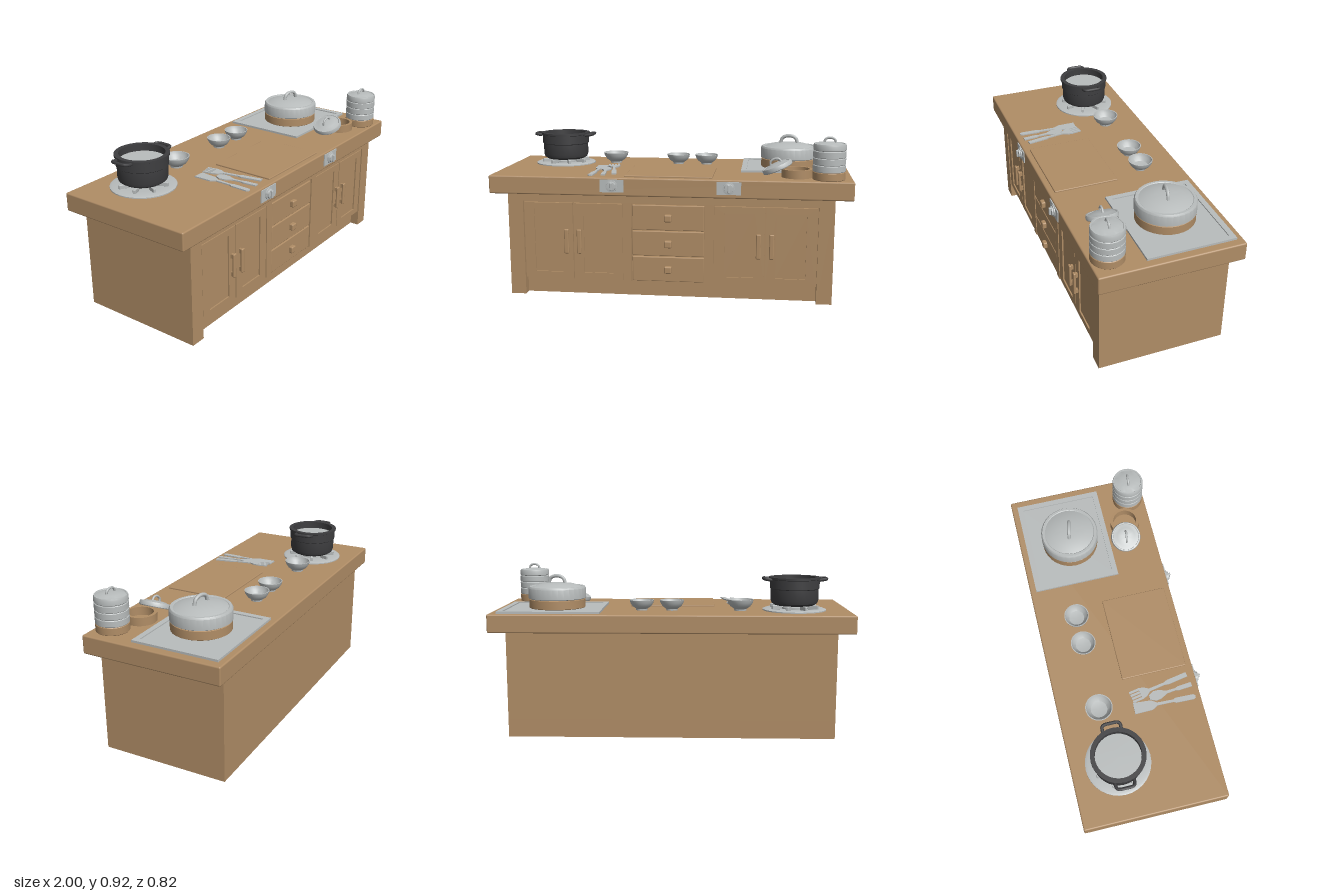
import * as THREE from 'three';
import { RoundedBoxGeometry } from 'three/addons/geometries/RoundedBoxGeometry.js';
import { toCreasedNormals } from 'three/addons/utils/BufferGeometryUtils.js';

export function createModel() {
  const wood = new THREE.MeshStandardMaterial({ color: 0xb08d66 });
  wood.name = 'wood';
  const metal = new THREE.MeshStandardMaterial({ color: 0xb9bdbd });
  metal.name = 'light metal';
  const iron = new THREE.MeshStandardMaterial({ color: 0x3e3e40 });
  iron.name = 'black iron';

  const root = new THREE.Group();
  root.name = 'kitchenIsland';

  const add = (name, geo, mat, parent = root, x = 0, y = 0, z = 0) => {
    const m = new THREE.Mesh(geo, mat);
    m.name = name;
    m.position.set(x, y, z);
    parent.add(m);
    return m;
  };
  const group = (name, x = 0, y = 0, z = 0, parent = root) => {
    const g = new THREE.Group();
    g.name = name;
    g.position.set(x, y, z);
    parent.add(g);
    return g;
  };
  // box given by its two extreme corners
  const box = (name, mat, x0, x1, y0, y1, z0, z1, parent = root) =>
    add(name, new THREE.BoxGeometry(x1 - x0, y1 - y0, z1 - z0), mat, parent,
      (x0 + x1) / 2, (y0 + y1) / 2, (z0 + z1) / 2);
  const softBox = (name, mat, x0, x1, y0, y1, z0, z1, r, parent = root) =>
    add(name, new RoundedBoxGeometry(x1 - x0, y1 - y0, z1 - z0, 2, r), mat, parent,
      (x0 + x1) / 2, (y0 + y1) / 2, (z0 + z1) / 2);
  // turned part from [radius, height] pairs, bottom outside first
  const turned = (name, mat, pts, parent, seg = 32) =>
    add(name, toCreasedNormals(new THREE.LatheGeometry(
      pts.map(p => new THREE.Vector2(...p)), seg), 0.6), mat, parent);
  const tube = (name, mat, pts, r, parent) =>
    add(name, new THREE.TubeGeometry(new THREE.CatmullRomCurve3(
      pts.map(p => new THREE.Vector3(...p))), 16, r, 8), mat, parent);
  // rectangular frame in the xy plane
  const frame = (name, mat, w, h, ix, iy, depth, parent) => {
    const rect = (S, a, b) => new S([[-a, -b], [a, -b], [a, b], [-a, b]].map(p => new THREE.Vector2(...p)));
    const s = rect(THREE.Shape, w / 2, h / 2);
    s.holes.push(rect(THREE.Path, w / 2 - ix, h / 2 - iy));
    return add(name, new THREE.ExtrudeGeometry(s, { depth, bevelEnabled: false }), mat, parent);
  };

  // Cabinet carcass, open below with a recessed toe board
  const cab = group('cabinet');
  box('carcass', wood, -0.905, 0.905, 0.1, 0.595, -0.375, 0.32, cab);
  box('backSkirt', wood, -0.905, 0.905, 0, 0.1, -0.375, -0.355, cab);
  box('toeBoard', wood, -0.885, 0.885, 0, 0.1, 0.27, 0.288, cab);
  box('topRail', wood, -0.82, 0.82, 0.543, 0.595, 0.32, 0.34, cab);
  for (const s of [-1, 1]) {
    box('sideSkirt', wood, Math.min(s * 0.905, s * 0.885), Math.max(s * 0.905, s * 0.885), 0, 0.1, -0.375, 0.32, cab);
    box('cornerPost', wood, s * 0.8625 - 0.0425, s * 0.8625 + 0.0425, 0, 0.595, 0.28, 0.34, cab);
    box('stile', wood, s * 0.23 - 0.024, s * 0.23 + 0.024, 0.095, 0.543, 0.32, 0.34, cab);
    // Panelled doors with bar handles
    for (const t of [-1, 1]) {
      const door = group('door', s * 0.535 + t * 0.141, 0.317, 0.32, cab);
      frame('doorFrame', wood, 0.276, 0.436, 0.056, 0.037, 0.016, door);
      box('doorPanel', wood, -0.083, 0.083, -0.181, 0.181, 0, 0.008, door);
      const hx = -t * 0.105;
      softBox('handleBar', wood, hx - 0.013, hx + 0.013, -0.067, 0.073, 0.028, 0.042, 0.006, door);
      for (const y of [-0.05, 0.056]) box('handleFoot', wood, hx - 0.009, hx + 0.009, y - 0.012, y + 0.012, 0.012, 0.032, door);
    }
  }
  // Drawers
  for (const y of [0.17, 0.317, 0.464]) {
    softBox('drawerFront', wood, -0.2, 0.2, y - 0.07, y + 0.07, 0.3, 0.338, 0.004, cab);
    softBox('drawerKnob', wood, -0.02, 0.02, y - 0.02, y + 0.02, 0.332, 0.361, 0.007, cab);
  }

  // Worktop and cutting board
  softBox('worktop', wood, -1, 1, 0.588, 0.69, -0.41, 0.378, 0.008);
  softBox('cuttingBoard', wood, -0.243, 0.243, 0.685, 0.699, -0.02, 0.345, 0.004);

  // Control plates with rotary knobs
  for (const x of [-0.305, 0.335]) {
    const g = group('control', x, 0.645, 0.378);
    box('controlPlate', metal, -0.066, 0.066, -0.035, 0.035, -0.004, 0.006, g);
    const dial = turned('controlDial', metal, [[0.033, 0], [0.033, 0.012], [0.026, 0.013], [0.024, 0.022], [0, 0.024]], g, 24);
    dial.rotation.x = Math.PI / 2;
    softBox('dialGrip', metal, -0.007, 0.007, -0.022, 0.022, 0.015, 0.033, 0.004, g);
  }

  // Burner with prongs, and the pot upon it
  const stove = group('burner', -0.69, 0.69, -0.152);
  turned('burnerPlate', metal, [[0.178, 0], [0.178, 0.006], [0.165, 0.011], [0.1, 0.008], [0, 0.008]], stove);
  turned('burnerHead', metal, [[0.07, 0], [0.07, 0.018], [0, 0.02]], stove, 20);
  for (let i = 0; i < 8; i++) {
    const arm = group('prong', 0, 0, 0, stove);
    arm.rotation.y = (i + 0.5) * Math.PI / 4;
    softBox('prongBar', metal, 0.08, 0.14, 0.006, 0.031, -0.008, 0.008, 0.004, arm);
  }
  const pot = group('pot', -0.69, 0.72, -0.152);
  turned('potBody', iron, [[0, 0], [0.11, 0], [0.128, 0.012], [0.134, 0.03], [0.134, 0.09], [0.139, 0.094],
    [0.139, 0.143], [0.146, 0.146], [0.146, 0.157], [0.122, 0.157], [0.122, 0.11]], pot);
  turned('potContents', metal, [[0.123, 0.118], [0, 0.12]], pot);
  for (const s of [-1, 1]) {
    tube('potHandle', iron, [[s * 0.13, 0.142, -0.05], [s * 0.168, 0.147, -0.045], [s * 0.174, 0.148, 0],
      [s * 0.168, 0.147, 0.045], [s * 0.13, 0.142, 0.05]], 0.009, pot);
  }

  // Bowls
  for (const [x, k] of [[-0.385, 1.08], [0, 1], [0.17, 1]]) {
    const b = group('bowl', x, 0.69, -0.185);
    b.scale.setScalar(k);
    turned('bowlShell', metal, [[0, 0], [0.032, 0], [0.033, 0.009], [0.052, 0.022], [0.065, 0.042], [0.069, 0.058],
      [0.064, 0.058], [0.058, 0.04], [0.042, 0.022], [0, 0.015]], b);
  }

  // Flat utensils: outlines in x and length, laid on the worktop
  const utensil = (name, outline, x, z, turn, y) => {
    const s = new THREE.Shape([...outline, ...outline.map(([a, b]) => [-a, b]).reverse()].map(p => new THREE.Vector2(...p)));
    const g = new THREE.ExtrudeGeometry(s, { depth: 0.007, bevelEnabled: false });
    g.rotateX(Math.PI / 2);
    add(name, g, metal, root, x, y, z).rotation.y = turn;
  };
  utensil('spatula', [[0.032, 0], [0.027, 0.1], [0.008, 0.13], [0.007, 0.22], [0.014, 0.235], [0.014, 0.335], [0.007, 0.345]],
    -0.422, 0.003, -0.03, 0.7);
  utensil('spoon', [[0.012, 0], [0.028, 0.03], [0.026, 0.06], [0.008, 0.1], [0.006, 0.15], [0.012, 0.17], [0.012, 0.245]],
    -0.382, 0.1, 0.09, 0.704);
  utensil('forkHandle', [[0.034, 0.055], [0.026, 0.085], [0.008, 0.11], [0.007, 0.2], [0.013, 0.22], [0.013, 0.335]],
    -0.36, 0.002, 0.18, 0.709);
  const tines = group('forkTines', -0.36, 0.7055, 0.002);
  tines.rotation.y = 0.18;
  for (const x of [-0.027, -0.009, 0.009, 0.027]) box('tine', metal, x - 0.006, x + 0.006, -0.0035, 0.0035, 0, 0.06, tines);

  // Hob tray with raised rim
  const tray = group('tray', 0.672, 0.69, -0.132);
  const rim = frame('trayRim', metal, 0.566, 0.486, 0.03, 0.03, 0.012, tray);
  rim.rotation.x = -Math.PI / 2;
  box('trayBed', metal, -0.256, 0.256, 0, 0.006, -0.216, 0.216, tray);

  // Steamer lid: shallow dome with an arched grip
  const lid = (parent, r, h, dome, grip, y, turn) => {
    const g = group('lid', 0, y, 0, parent);
    turned('lidDome', metal, [[0, 0], [r * 0.96, 0], [r, 0.004], [r, h - 0.01], [r * 0.96, h], [r * 0.88, h], [r * 0.86, h - 0.003],
      [r * 0.6, h + dome * 0.6], [r * 0.3, h + dome * 0.92], [0, h + dome]], g);
    const top = h + dome - 0.004;
    tube('lidGrip', metal, [[-grip, top - 0.002, 0], [-grip * 0.75, top + grip * 0.6, 0], [0, top + grip * 0.85, 0],
      [grip * 0.75, top + grip * 0.6, 0], [grip, top - 0.002, 0]], grip * 0.2, g);
    g.rotation.y = turn;
    return g;
  };
  const basket = (parent, name, mat, r, y0, y1) => turned(name, mat, [[0, y0], [r * 0.97, y0], [r, y0 + 0.003],
    [r, y1 - 0.003], [r * 0.97, y1], [0, y1]], parent);

  // Large steamer
  const big = group('largeSteamer', 0.66, 0.696, -0.115);
  basket(big, 'steamerBase', wood, 0.16, 0, 0.052);
  lid(big, 0.163, 0.07, 0.02, 0.05, 0.052, -0.2);

  // Tall stacked steamer
  const stack = group('stackedSteamer', 0.868, 0.69, 0.282);
  basket(stack, 'stackBase', wood, 0.088, 0, 0.044);
  for (let i = 0; i < 3; i++) basket(stack, 'stackTier', metal, 0.088, 0.044 + i * 0.038, 0.081 + i * 0.038);
  lid(stack, 0.088, 0.036, 0.008, 0.032, 0.158, -0.1);

  // Open wooden ring with a lid leaning on it
  const ring = group('steamerRing', 0.7, 0.69, 0.225);
  turned('ringWall', wood, [[0.068, 0], [0.085, 0], [0.085, 0.046], [0.068, 0.046], [0.068, 0]], ring);
  const lean = group('leaningLid', 0.597, 0.729, 0.205);
  lid(lean, 0.086, 0.026, 0.01, 0.032, 0, -0.1);
  lean.rotation.z = 0.42;

  return root;
}
